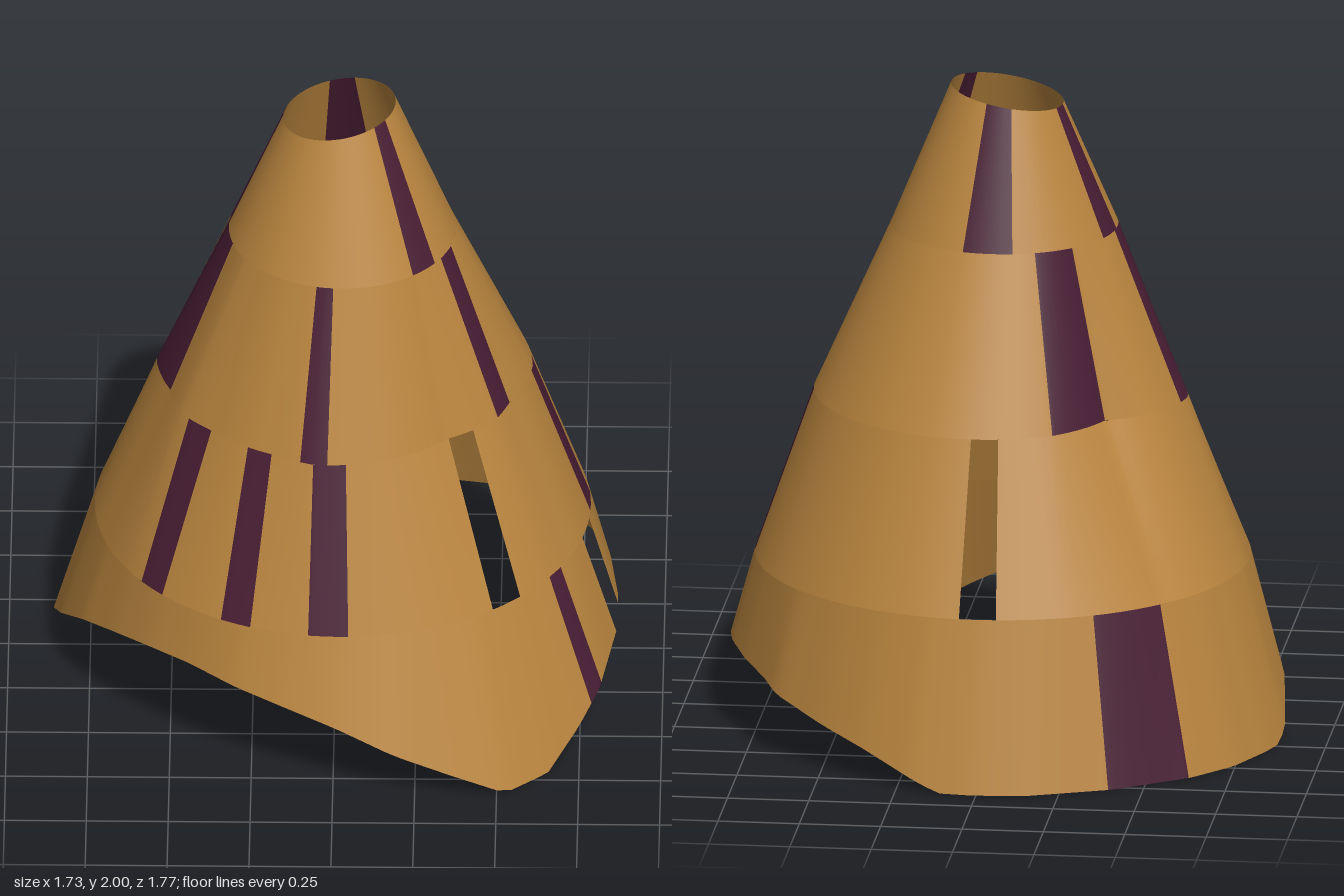
import * as THREE from 'three';

const RAD = Math.PI / 180;

// Lower hem, walked from the right side round the front: x, y, z
const HEM = [
  [0.862, 0.22, 0.05], [0.86, 0.2, 0.2], [0.81, 0.14, 0.444], [0.75, 0.08, 0.565],
  [0.655, 0, 0.71], [0.526, 0, 0.825], [0.367, 0.08, 0.858], [0.185, 0.17, 0.885],
  [0.01, 0.25, 0.86], [-0.16, 0.3, 0.81], [-0.3, 0.33, 0.75], [-0.44, 0.35, 0.65],
  [-0.56, 0.345, 0.55], [-0.675, 0.31, 0.41], [-0.77, 0.255, 0.257], [-0.84, 0.145, 0.05],
  [-0.866, 0.035, -0.154], [-0.855, 0, -0.22], [-0.83, 0, -0.3], [-0.745, 0, -0.48],
  [-0.63, 0, -0.617], [-0.404, 0, -0.775], [-0.16, 0, -0.87], [0.01, 0, -0.888],
  [0.12, 0, -0.875], [0.2, 0.036, -0.857], [0.357, 0.105, -0.78], [0.497, 0.15, -0.685],
  [0.655, 0.2, -0.54], [0.7, 0.22, -0.444], [0.78, 0.24, -0.294], [0.835, 0.25, -0.14],
];
const hemAngle = ([x, , z]) => (Math.atan2(z, x - 0.02) / RAD + 360) % 360;

// Hem point at an angle, linear between its neighbours
function hemPoint(deg) {
  const n = HEM.length;
  for (let i = 0; i < n; i++) {
    const p = HEM[i], q = HEM[(i + 1) % n], a0 = hemAngle(p);
    const span = (hemAngle(q) - a0 + 360) % 360;
    const d = (deg - a0 + 360) % 360;
    if (d <= span) return p.map((v, k) => v + (q[k] - v) * d / span);
  }
  return HEM[0];
}

// Value at an angle from a list of [degrees, value] running from 0 to 360
function lookUp(list, deg) {
  const i = Math.max(1, list.findIndex(([a]) => a >= deg));
  const [a0, v0] = list[i - 1], [a1, v1] = list[i];
  return v0 + (v1 - v0) * (deg - a0) / (a1 - a0);
}

// Row of the cone with a radius rule; tilt raises its +x side
const ring = (y, radius, cx, cz, tilt = 0) => (deg) => {
  const c = Math.cos(deg * RAD), s = Math.sin(deg * RAD), r = radius(deg);
  return [cx + r * c, y + tilt * c, cz + r * s];
};

// Sagging waist row: radius by angle
const WAIST = [
  [0, 0.58], [22, 0.552], [32, 0.56], [43, 0.543], [52, 0.528], [75, 0.56], [98, 0.575],
  [112, 0.552], [137, 0.548], [150, 0.565], [164, 0.545], [182, 0.57], [203, 0.535],
  [221, 0.46], [247, 0.53], [265, 0.55], [285, 0.565], [315, 0.567], [360, 0.58],
];

const ROWS = [
  hemPoint,
  ring(0.52, () => 0.757, 0.02, 0.003),
  ring(1.03, (deg) => lookUp(WAIST, deg), 0.02, 0.015),
  ring(1.55, () => 0.347, 0.02, 0.05),
  ring(1.97, () => 0.172, 0.01, 0.037, 0.03),
];

// Dark patches and open gaps of each band as angle ranges in degrees;
// lean turns the upper edge of the band relative to the lower one
const STRAIGHT = [[0, 0], [360, 0]];
const BANDS = [
  { name: 'hemBand', dark: [[27.8, 32.8], [224, 242]], open: [[5.7, 14.2]], lean: STRAIGHT },
  {
    name: 'lowerBand',
    dark: [[136, 143.5], [111.2, 118.7], [88, 97.3], [354, 362.5]],
    open: [[43.6, 52], [265, 273.6]],
    lean: [[0, 0], [30, 0], [44, -1.4], [52, -0.4], [88, 0.3], [97, 1], [111, 1.2],
      [119, 2.3], [136, 0.3], [143.5, 2.7], [165, 0], [360, 0]],
  },
  {
    name: 'upperBand',
    dark: [[94, 102.5], [22, 31.5], [164, 188], [221, 247]],
    open: [],
    lean: [[0, 0], [22, -5], [31.5, -2], [50, 0], [200, 0], [221, 6], [247, 1], [260, 0], [360, 0]],
  },
  { name: 'topBand', dark: [[35, 51], [259.5, 285], [184, 203]], open: [], lean: STRAIGHT },
];

const inside = (ranges, a) =>
  ranges.some(([lo, hi]) => (a > lo && a < hi) || (a + 360 > lo && a + 360 < hi));

// One band as a strip of quads: group 0 plain, group 1 dark, gaps left out
function bandGeometry({ dark, open, lean }, low, high) {
  const cuts = [...dark, ...open].flat().map((a) => a % 360);
  for (let a = 0; a < 360; a += 3) {
    if (!cuts.some((c) => Math.abs(c - a) < 1)) cuts.push(a);
  }
  cuts.sort((a, b) => a - b);
  const n = cuts.length, pos = [], plain = [], patch = [];
  cuts.forEach((a, i) => {
    pos.push(...low(a), ...high(a + lookUp(lean, a)));
    const j = (i + 1) % n;
    const mid = (a + (j ? cuts[j] : cuts[0] + 360)) / 2 % 360;
    if (inside(open, mid)) return;
    const b0 = 2 * i, t0 = b0 + 1, b1 = 2 * j, t1 = b1 + 1;
    (inside(dark, mid) ? patch : plain).push(b1, b0, t0, b1, t0, t1);
  });
  const g = new THREE.BufferGeometry();
  g.setAttribute('position', new THREE.Float32BufferAttribute(pos, 3));
  g.setIndex([...plain, ...patch]);
  g.addGroup(0, plain.length, 0);
  g.addGroup(plain.length, patch.length, 1);
  g.computeVertexNormals();
  return g;
}

export function createModel() {
  const model = new THREE.Group();
  model.name = 'patchedCone';
  const ochre = new THREE.MeshStandardMaterial({ color: 0xb8843e, side: THREE.DoubleSide });
  ochre.name = 'ochre cloth';
  const plum = new THREE.MeshStandardMaterial({ color: 0x481d33, side: THREE.DoubleSide });
  plum.name = 'plum patch';

  BANDS.forEach((band, i) => {
    const mesh = new THREE.Mesh(bandGeometry(band, ROWS[i], ROWS[i + 1]), [ochre, plum]);
    mesh.name = band.name;
    model.add(mesh);
  });
  return model;
}
